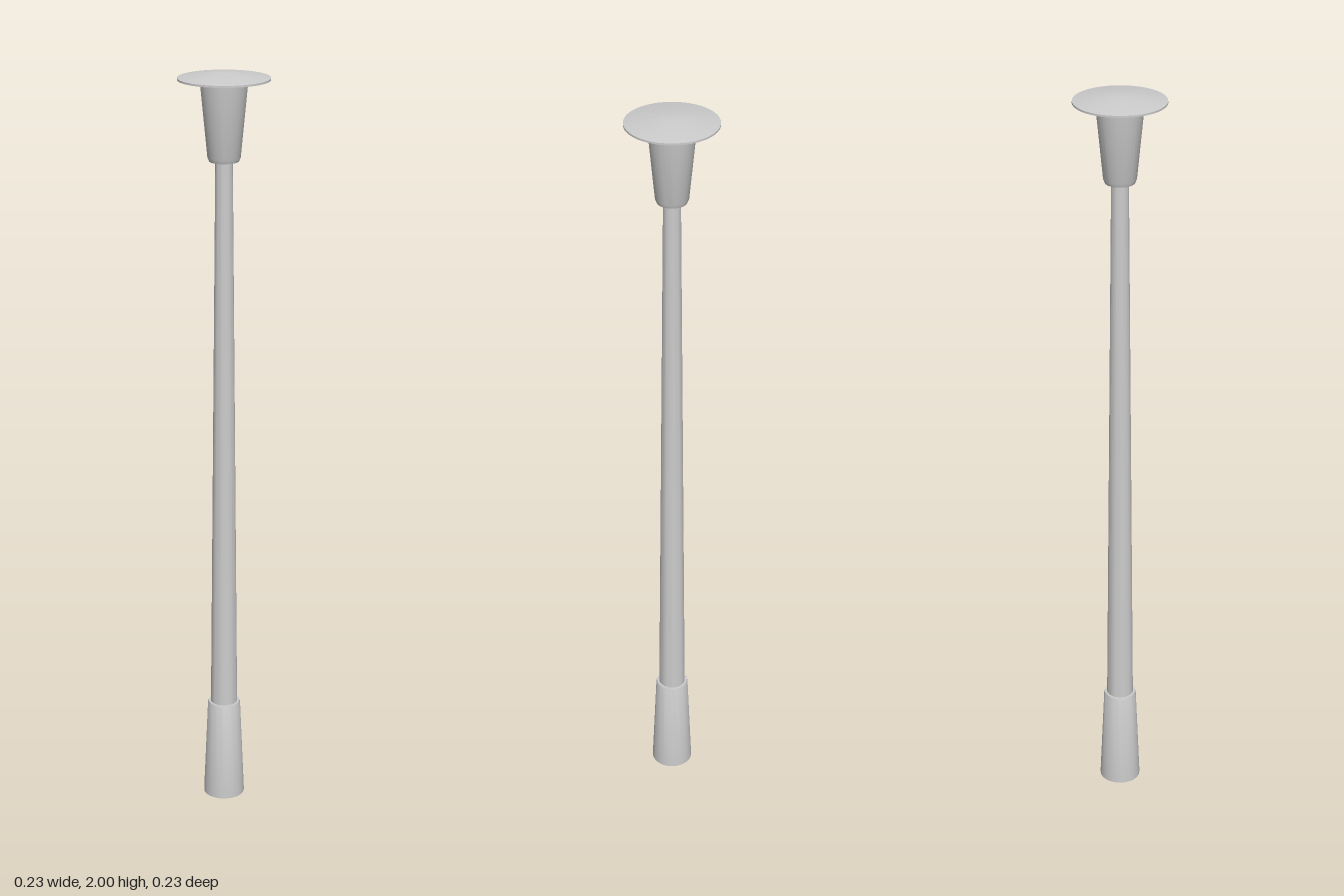
import * as THREE from 'three';
import { toCreasedNormals } from 'three/addons/utils/BufferGeometryUtils.js';

const material = new THREE.MeshStandardMaterial({ color: 0xcccccc });

// Turned part from [radius, height] pairs, listed bottom to top
function turned(name, profile, segments = 32) {
  const points = profile.map(([r, y]) => new THREE.Vector2(r, y));
  const geometry = toCreasedNormals(new THREE.LatheGeometry(points, segments), Math.PI / 9);
  const mesh = new THREE.Mesh(geometry, material);
  mesh.name = name;
  return mesh;
}

export function createModel() {
  const group = new THREE.Group();
  group.name = 'streetLamp';

  // Tapered foot sleeve with a slightly bevelled shoulder
  group.add(turned('base', [
    [0, 0], [0.055, 0], [0.055, 0.01], [0.044, 0.27], [0.042, 0.276], [0, 0.276],
  ]));

  // Long pole, narrowing upwards
  group.add(turned('pole', [
    [0, 0.26], [0.036, 0.26], [0.022, 1.79], [0, 1.79],
  ]));

  // Lamp housing, flaring upwards
  group.add(turned('lampHousing', [
    [0, 1.775], [0.038, 1.775], [0.042, 1.785], [0.061, 1.982], [0, 1.982],
  ]));

  // Shallow conical cap with a small flat top
  group.add(turned('cap', [
    [0, 1.98], [0.117, 1.98], [0.117, 1.985], [0.03, 2], [0, 2],
  ], 48));

  return group;
}
